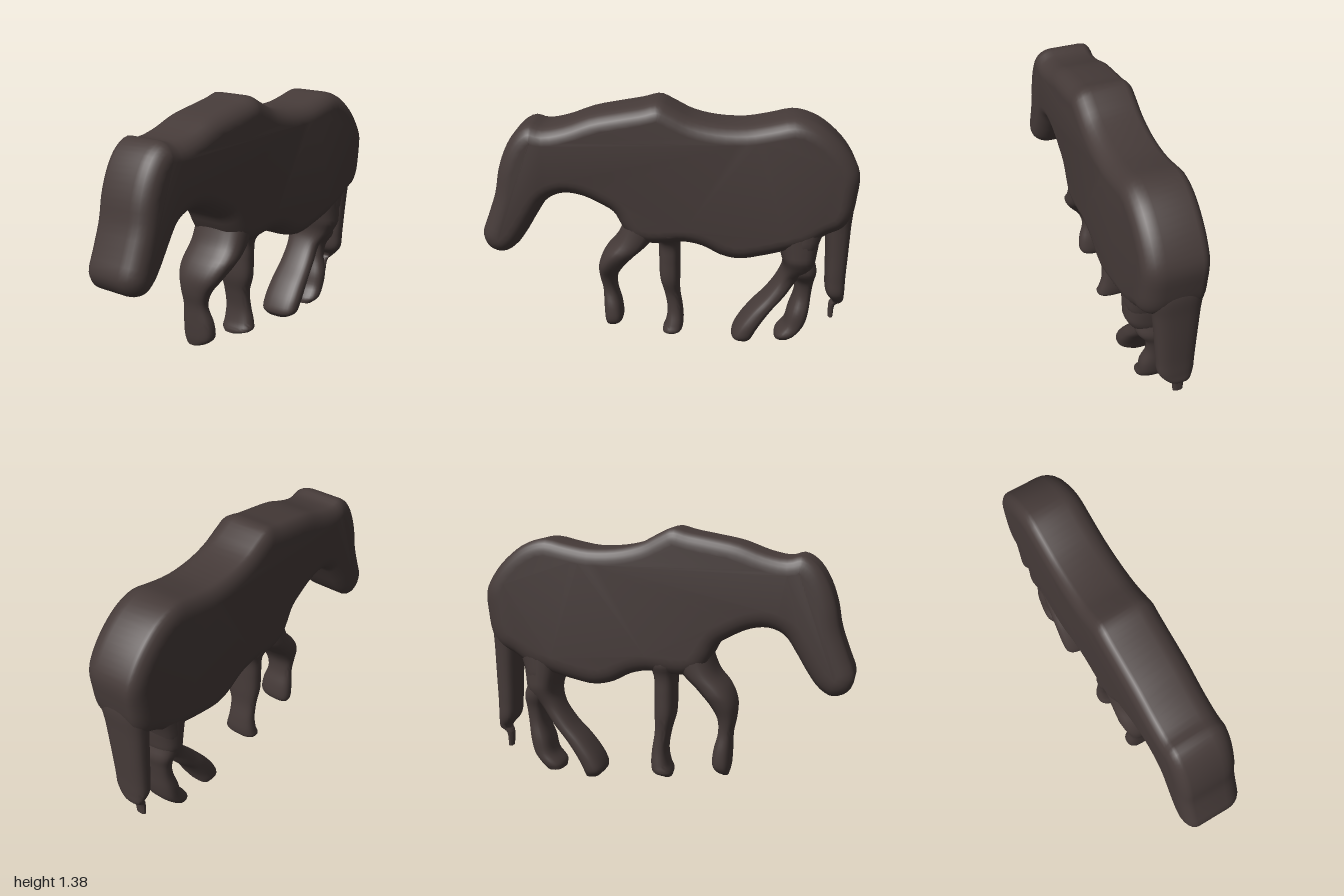
import * as THREE from 'three';
import { toCreasedNormals } from 'three/addons/utils/BufferGeometryUtils.js';

const BACK = -0.165, FRONT = 0.165;

// Smooth 2D outline through a few points
function smoothOutline(points, count) {
  const curve = new THREE.CatmullRomCurve3(points.map(([x, y]) => new THREE.Vector3(x, y, 0)), true);
  return curve.getPoints(count).slice(0, -1).map((p) => new THREE.Vector2(p.x, p.y));
}

// Thick slab with rounded rims; the front rim is deeper than the back rim
function slab(points) {
  const geo = new THREE.ExtrudeGeometry(new THREE.Shape(smoothOutline(points, 150)), {
    depth: 1, bevelThickness: 1, bevelSize: 0.085, bevelOffset: -0.085, bevelSegments: 6,
  });
  const pos = geo.attributes.position;
  for (let i = 0; i < pos.count; i++) {
    const z = pos.getZ(i);
    let depth = THREE.MathUtils.lerp(-0.11, 0.065, z);
    if (z > 1) depth = THREE.MathUtils.lerp(0.065, FRONT, z - 1);
    if (z < 0) depth = THREE.MathUtils.lerp(-0.11, BACK, -z);
    pos.setZ(i, depth);
  }
  return toCreasedNormals(geo, 0.8);
}

// Limb from rows of [y, x min, x max], listed downwards; its depth follows its width
function limb(rows, rings = 44, sides = 28) {
  const path = new THREE.CatmullRomCurve3(
    rows.map(([y, a, b]) => new THREE.Vector3((a + b) / 2, y, b - a)));
  const verts = [], index = [];
  const round = (v) => Math.sign(v) * Math.abs(v) ** 0.75;
  for (let i = 0; i <= rings; i++) {
    const { x, y, z: width } = path.getPoint(i / rings);
    const zFront = Math.min(0.16, -0.065 + 1.2 * width);
    const zBack = Math.max(-0.16, -0.075 - 0.5 * width);
    for (let j = 0; j < sides; j++) {
      const a = (j / sides) * Math.PI * 2;
      verts.push(x + round(Math.cos(a)) * width / 2, y,
        (zFront + zBack) / 2 + round(Math.sin(a)) * (zFront - zBack) / 2);
      if (i === rings) continue;
      const p = i * sides + j, q = i * sides + (j + 1) % sides;
      index.push(p, q, p + sides, q, q + sides, p + sides);
    }
  }
  // End caps
  const last = rings * sides;
  for (let j = 1; j < sides - 1; j++) {
    index.push(0, j + 1, j, last, last + j, last + j + 1);
  }
  const geo = new THREE.BufferGeometry();
  geo.setAttribute('position', new THREE.Float32BufferAttribute(verts, 3));
  geo.setIndex(index);
  return toCreasedNormals(geo, 1);
}

// Muzzle, over the back to the rump, then along the belly and throat
const bodyOutline = [
  [-1, 0.65], [-0.965, 0.76], [-0.92, 0.89], [-0.895, 1.02], [-0.85, 1.14], [-0.79, 1.225],
  [-0.72, 1.265], [-0.65, 1.25], [-0.54, 1.27], [-0.4, 1.32], [-0.25, 1.35], [-0.14, 1.37],
  [-0.05, 1.39], [0.03, 1.355], [0.12, 1.31], [0.25, 1.28], [0.4, 1.275], [0.52, 1.295],
  [0.65, 1.32], [0.76, 1.29], [0.86, 1.22], [0.94, 1.13], [0.99, 1.03], [0.985, 0.91],
  [0.965, 0.8], [0.92, 0.73], [0.84, 0.69], [0.75, 0.63], [0.62, 0.59], [0.5, 0.56],
  [0.38, 0.54], [0.28, 0.56], [0.18, 0.61], [0.08, 0.63], [-0.02, 0.62], [-0.12, 0.62],
  [-0.2, 0.65], [-0.25, 0.72], [-0.29, 0.79], [-0.36, 0.835], [-0.46, 0.88], [-0.56, 0.89],
  [-0.64, 0.855], [-0.7, 0.77], [-0.76, 0.67], [-0.82, 0.59], [-0.89, 0.55], [-0.965, 0.575],
];

const limbs = {
  frontLegForward: [
    [0.8, -0.22, -0.04], [0.7, -0.25, -0.05], [0.62, -0.285, -0.09], [0.54, -0.35, -0.17],
    [0.46, -0.385, -0.24], [0.38, -0.385, -0.285], [0.3, -0.37, -0.29], [0.2, -0.365, -0.265],
    [0.12, -0.36, -0.26], [0.09, -0.355, -0.28], [0.07, -0.35, -0.32],
  ],
  frontLegBack: [
    [0.78, -0.11, 0.13], [0.68, -0.09, 0.1], [0.6, -0.06, 0.065], [0.5, -0.055, 0.06],
    [0.38, -0.05, 0.06], [0.28, -0.025, 0.06], [0.18, -0.01, 0.075], [0.1, -0.02, 0.08],
    [0.06, -0.035, 0.07], [0.035, -0.035, 0.01],
  ],
  hindLegForward: [
    [0.8, 0.56, 0.8], [0.68, 0.57, 0.81], [0.57, 0.6, 0.8], [0.48, 0.62, 0.78],
    [0.4, 0.595, 0.71], [0.3, 0.53, 0.645], [0.2, 0.44, 0.565], [0.1, 0.37, 0.5],
    [0.04, 0.35, 0.47], [0.005, 0.38, 0.455],
  ],
  hindLegBack: [
    [0.85, 0.64, 0.9], [0.72, 0.62, 0.84], [0.62, 0.62, 0.805], [0.53, 0.63, 0.785],
    [0.45, 0.66, 0.805], [0.38, 0.69, 0.795], [0.3, 0.69, 0.785], [0.2, 0.66, 0.775],
    [0.12, 0.64, 0.755], [0.06, 0.595, 0.71], [0.03, 0.59, 0.68],
  ],
  tail: [
    [0.95, 0.86, 0.96], [0.85, 0.83, 0.98], [0.72, 0.84, 0.975], [0.55, 0.85, 0.97],
    [0.4, 0.855, 0.965], [0.31, 0.865, 0.965], [0.25, 0.905, 0.96], [0.22, 0.89, 0.925],
    [0.14, 0.89, 0.915],
  ],
};

export function createModel() {
  const group = new THREE.Group();
  group.name = 'grazingHorse';
  const coat = new THREE.MeshStandardMaterial({ color: 0x463b39 });
  coat.name = 'darkBrownCoat';

  const add = (name, geo) => {
    const mesh = new THREE.Mesh(geo, coat);
    mesh.name = name;
    group.add(mesh);
  };

  // Head, neck and trunk
  add('body', slab(bodyOutline));
  // Legs and tail
  for (const [name, rows] of Object.entries(limbs)) add(name, limb(rows));
  return group;
}
